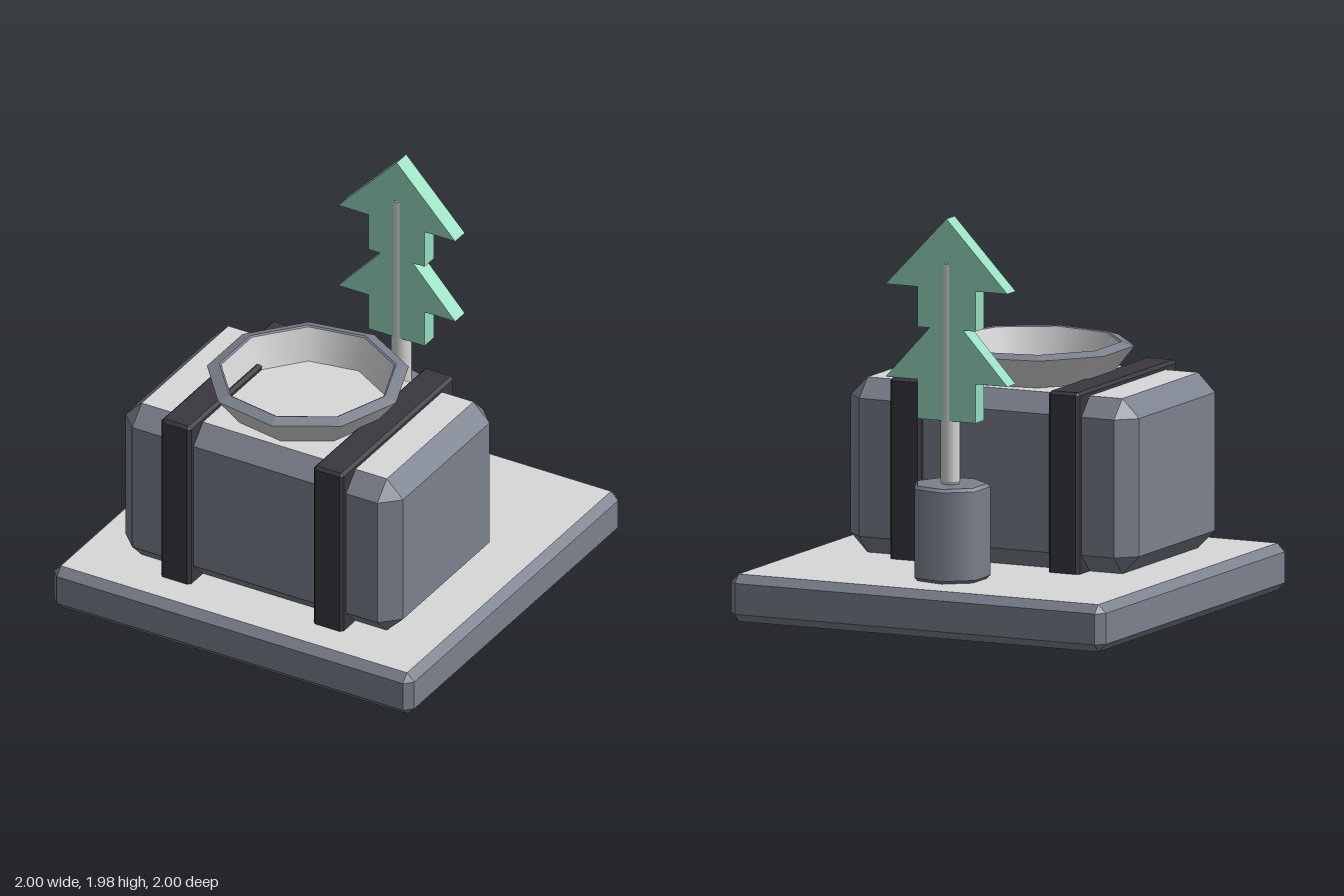
import * as THREE from 'three';
import { mergeGeometries } from 'three/addons/utils/BufferGeometryUtils.js';
import { ConvexGeometry } from 'three/addons/geometries/ConvexGeometry.js';

function material(name, color, side = THREE.FrontSide) {
  const m = new THREE.MeshStandardMaterial({ color, side });
  m.name = name;
  return m;
}

// Box with every edge chamfered by c; group 1 is the level top and bottom, group 0 the rest
function chamferBox([x0, x1], [y0, y1], [z0, z1], c) {
  const h = [(x1 - x0) / 2, (y1 - y0) / 2, (z1 - z0) / 2];
  const points = [];
  for (const sx of [-1, 1]) for (const sy of [-1, 1]) for (const sz of [-1, 1]) {
    for (let full = 0; full < 3; full++) {
      const [x, y, z] = h.map((v, i) => (i === full ? v : v - c));
      points.push(new THREE.Vector3(sx * x, sy * y, sz * z));
    }
  }
  const g = new ConvexGeometry(points);
  const n = g.attributes.normal;
  for (let i = 0; i < n.count; i += 3) g.addGroup(i, 3, Math.abs(n.getY(i)) > 0.99 ? 1 : 0);
  return g.translate((x0 + x1) / 2, (y0 + y1) / 2, (z0 + z1) / 2);
}

// Turned part: smooth around, sharp between profile segments, one corner on +x
function turned(profile, sides) {
  const bands = [];
  for (let i = 0; i < profile.length - 1; i++) {
    const pts = [profile[i], profile[i + 1]].map(([r, y]) => new THREE.Vector2(r, y));
    bands.push(new THREE.LatheGeometry(pts, sides));
  }
  return mergeGeometries(bands).rotateY(Math.PI / 2);
}

export function createModel() {
  const model = new THREE.Group();
  const slate = material('slate', 0x7b818d);
  const pale = material('paleGrey', 0xd8d8d8);
  const dark = material('charcoal', 0x3a383f);
  const green = material('mintGreen', 0x98dec1);

  const add = (name, geometry, mat, z = 0) => {
    const mesh = new THREE.Mesh(geometry, mat);
    mesh.name = name;
    mesh.position.z = z;
    model.add(mesh);
    return mesh;
  };

  // Base slab and main block, with pale level faces
  add('base', chamferBox([-1, 1], [0, 0.23], [-1, 1], 0.04), [slate, pale]);
  add('body', chamferBox([-0.77, 0.77], [0.23, 1.08], [-0.23, 0.765], 0.09), [slate, pale]);

  // Straps wrapped over the block
  for (const s of [-1, 1]) {
    const strap = chamferBox([s * 0.423 - 0.083, s * 0.423 + 0.083], [0.21, 1.11], [-0.26, 0.8], 0.015);
    add(s > 0 ? 'leftStrap' : 'rightStrap', strap, [dark, dark]);
  }

  // Nine-sided open bowl with a bevelled rim
  const bowlZ = 0.267;
  add('bowlOutside', turned([[0.37, 1.075], [0.49, 1.23]], 9), pale, bowlZ);
  add('bowlInside', turned([[0.42, 1.245], [0.375, 1.075]], 9), pale, bowlZ);
  const rim = turned([[0.49, 1.23], [0.43, 1.25], [0.42, 1.245]], 9).toNonIndexed();
  rim.computeVertexNormals();
  add('bowlRim', rim, slate, bowlZ);

  // Planter and trunk
  const treeZ = -0.616;
  add('planter', turned([[0, 0.23], [0.175, 0.23], [0.19, 0.245], [0.19, 0.675], [0.175, 0.69], [0, 0.69]], 7), slate, treeZ);
  add('trunk', turned([[0, 0.68], [0.043, 0.69], [0.051, 0.705], [0.051, 1.76], [0.043, 1.77], [0, 1.77]], 8), pale, treeZ);

  // Two-tier flat tree, mirrored about its centre line
  const half = [[0.155, 1.0], [0.155, 1.19], [0.325, 1.19], [0.09, 1.445],
    [0.155, 1.445], [0.155, 1.64], [0.325, 1.64]];
  const outline = [...half, [0, 1.98], ...half.map(([x, y]) => [-x, y]).reverse()];
  const shape = new THREE.Shape(outline.map(([x, y]) => new THREE.Vector2(x, y)));
  const foliage = new THREE.ExtrudeGeometry(shape, { depth: 0.09, bevelEnabled: false });
  add('foliage', foliage.translate(0, 0, -0.045), green, treeZ);

  return model;
}
